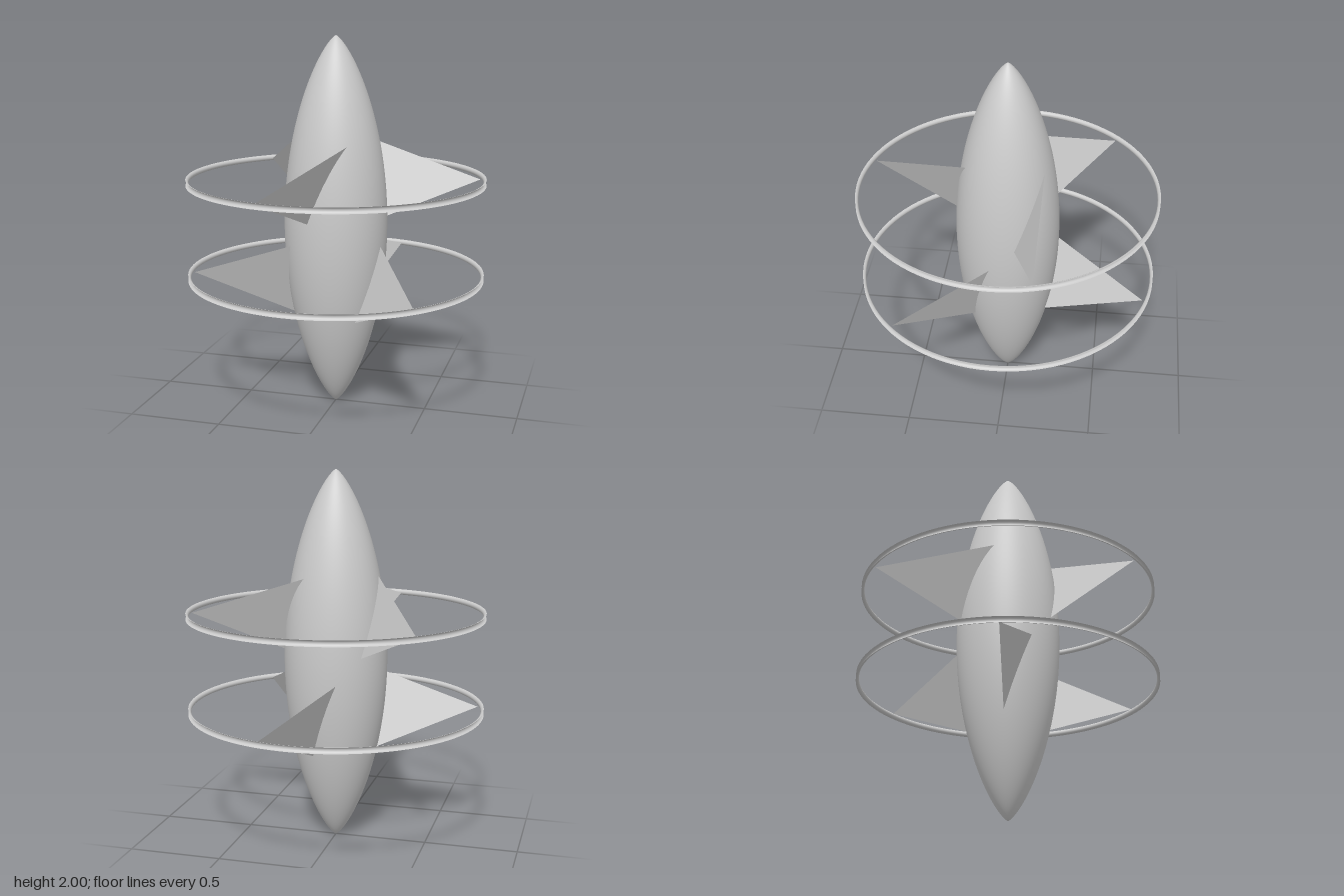
import * as THREE from 'three';

const BODY_RADIUS = 0.275;
const material = new THREE.MeshStandardMaterial({ color: 0xcccccc });
const thin = new THREE.MeshStandardMaterial({ color: 0xcccccc, side: THREE.DoubleSide });

const bodyRadiusAt = (y) => BODY_RADIUS * Math.pow(Math.max(0, 1 - (y - 1) ** 2), 0.75);

// Point at a compass angle (degrees, counter-clockwise seen from above)
function polar(radius, degrees, y) {
  const a = THREE.MathUtils.degToRad(degrees);
  return new THREE.Vector3(radius * Math.cos(a), y, -radius * Math.sin(a));
}

function addMesh(parent, name, geometry, mat) {
  const mesh = new THREE.Mesh(geometry, mat);
  mesh.name = name;
  parent.add(mesh);
}

// Spindle hull, pointed at both ends
function hullGeometry() {
  const points = [];
  const n = 64;
  for (let i = 0; i <= n; i++) {
    const y = 1 - Math.cos((i / n) * Math.PI);
    points.push(new THREE.Vector2(bodyRadiusAt(y), y));
  }
  return new THREE.LatheGeometry(points, 64);
}

// Thin ring, a half-round channel open to the outside
function ringGeometry(y) {
  const points = [];
  for (let i = 0; i <= 10; i++) {
    const a = -Math.PI / 2 + (i / 10) * Math.PI;
    points.push(new THREE.Vector2(0.793 - 0.016 * Math.cos(a), y + 0.016 * Math.sin(a)));
  }
  return new THREE.LatheGeometry(points, 96);
}

// Flat tilted triangular fin, its two root corners resting on the hull
function finGeometry(angle, set) {
  const geometry = new THREE.BufferGeometry().setFromPoints([
    polar(0.766, angle, set.ringY),
    polar(bodyRadiusAt(set.topY), angle + set.topTwist, set.topY),
    polar(bodyRadiusAt(set.bottomY), angle + set.bottomTwist, set.bottomY),
  ]);
  geometry.computeVertexNormals();
  return geometry;
}

export function createModel() {
  const model = new THREE.Group();
  model.name = 'finnedSpindle';
  addMesh(model, 'hull', hullGeometry(), material);

  const sets = [
    { name: 'upper', ringY: 1.245, topY: 1.45, bottomY: 1.05, topTwist: 44, bottomTwist: -2, start: 15 },
    { name: 'lower', ringY: 0.73, topY: 0.91, bottomY: 0.51, topTwist: 29.5, bottomTwist: -2.5, start: 75 },
  ];
  for (const set of sets) {
    const group = new THREE.Group();
    group.name = set.name + 'FinsAndRing';
    addMesh(group, set.name + 'Ring', ringGeometry(set.ringY), thin);
    for (let i = 0; i < 3; i++) {
      addMesh(group, set.name + 'Fin' + (i + 1), finGeometry(set.start + i * 120, set), thin);
    }
    model.add(group);
  }
  return model;
}
